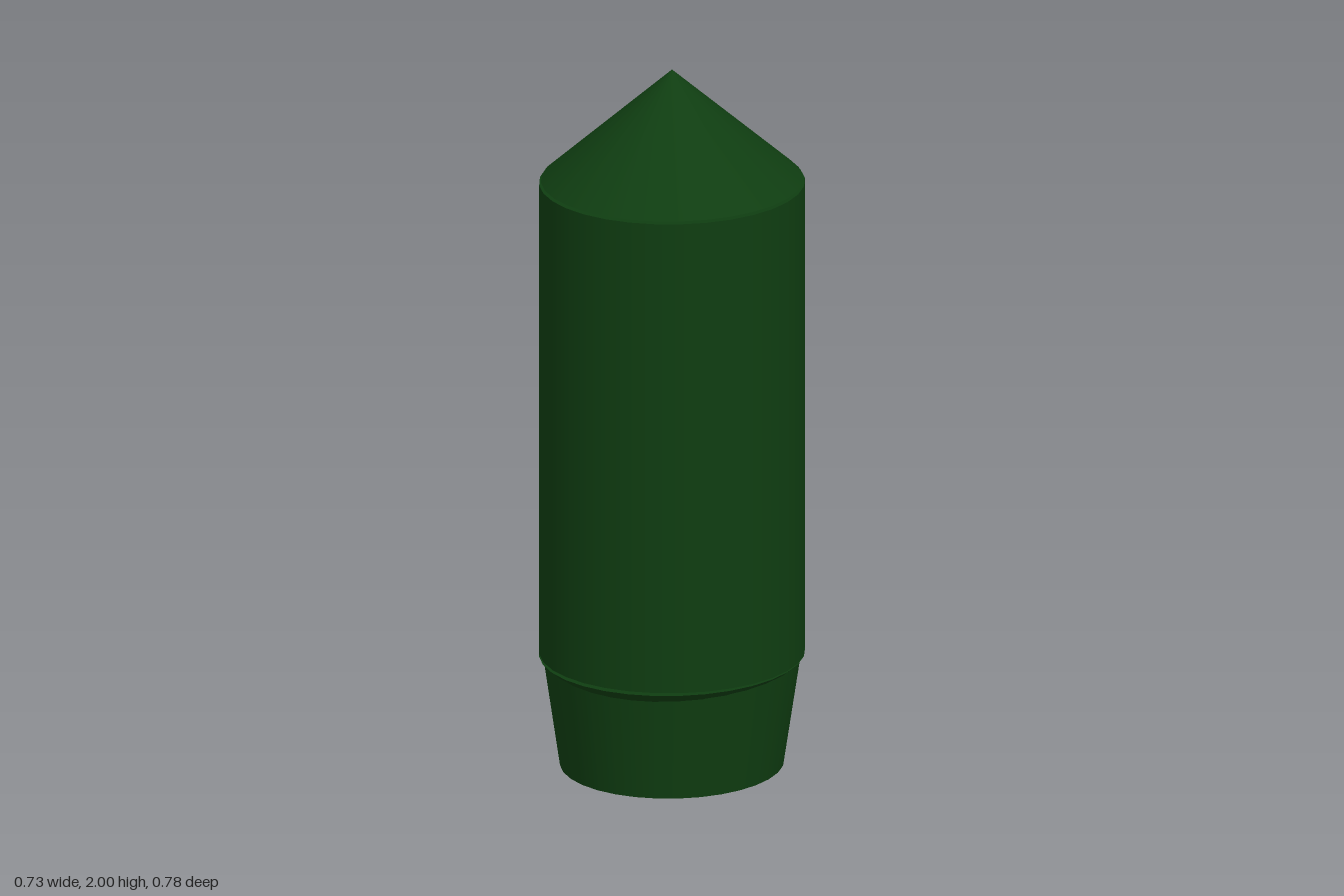
import * as THREE from 'three';

const SEGMENTS = 32;

export function createModel() {
  const group = new THREE.Group();
  group.name = 'pointedCapsule';
  const material = new THREE.MeshStandardMaterial({ color: 0x0f3d11 });

  // Capped oval frustum; rx and rz are [bottom, top] radii along x and z
  function ovalPart(name, y0, y1, rx, rz) {
    const geometry = new THREE.CylinderGeometry(1, 1, y1 - y0, SEGMENTS);
    const p = geometry.attributes.position;
    const n = geometry.attributes.normal;
    const h = y1 - y0;
    for (let i = 0; i < p.count; i++) {
      const end = p.getY(i) > 0 ? 1 : 0;
      const c = p.getX(i), s = p.getZ(i);
      p.setXYZ(i, c * rx[end], y0 + h * end, s * rz[end]);
      // Smooth normals on the sloping wall, flat on the caps
      if (Math.abs(n.getY(i)) < 0.5) {
        const ax = (rx[0] + rx[1]) / 2, az = (rz[0] + rz[1]) / 2;
        const slope = (c * c * az * (rx[0] - rx[1]) + s * s * ax * (rz[0] - rz[1])) / h;
        const v = new THREE.Vector3(c * az, slope, s * ax).normalize();
        n.setXYZ(i, v.x, v.y, v.z);
      }
    }
    const mesh = new THREE.Mesh(geometry, material);
    mesh.name = name;
    group.add(mesh);
  }

  // Tapered foot
  ovalPart('base', 0.005, 0.318, [0.305, 0.353], [0.324, 0.358]);
  // Inverted cone whose rim flares out between foot and body
  ovalPart('flaredRim', 0, 0.322, [0, 0.362], [0, 0.39]);
  // Straight main barrel
  ovalPart('body', 0.326, 1.677, [0.363, 0.363], [0.376, 0.376]);
  // Pointed top, a hair above the barrel
  ovalPart('noseCone', 1.684, 2, [0.358, 0], [0.372, 0]);

  return group;
}
